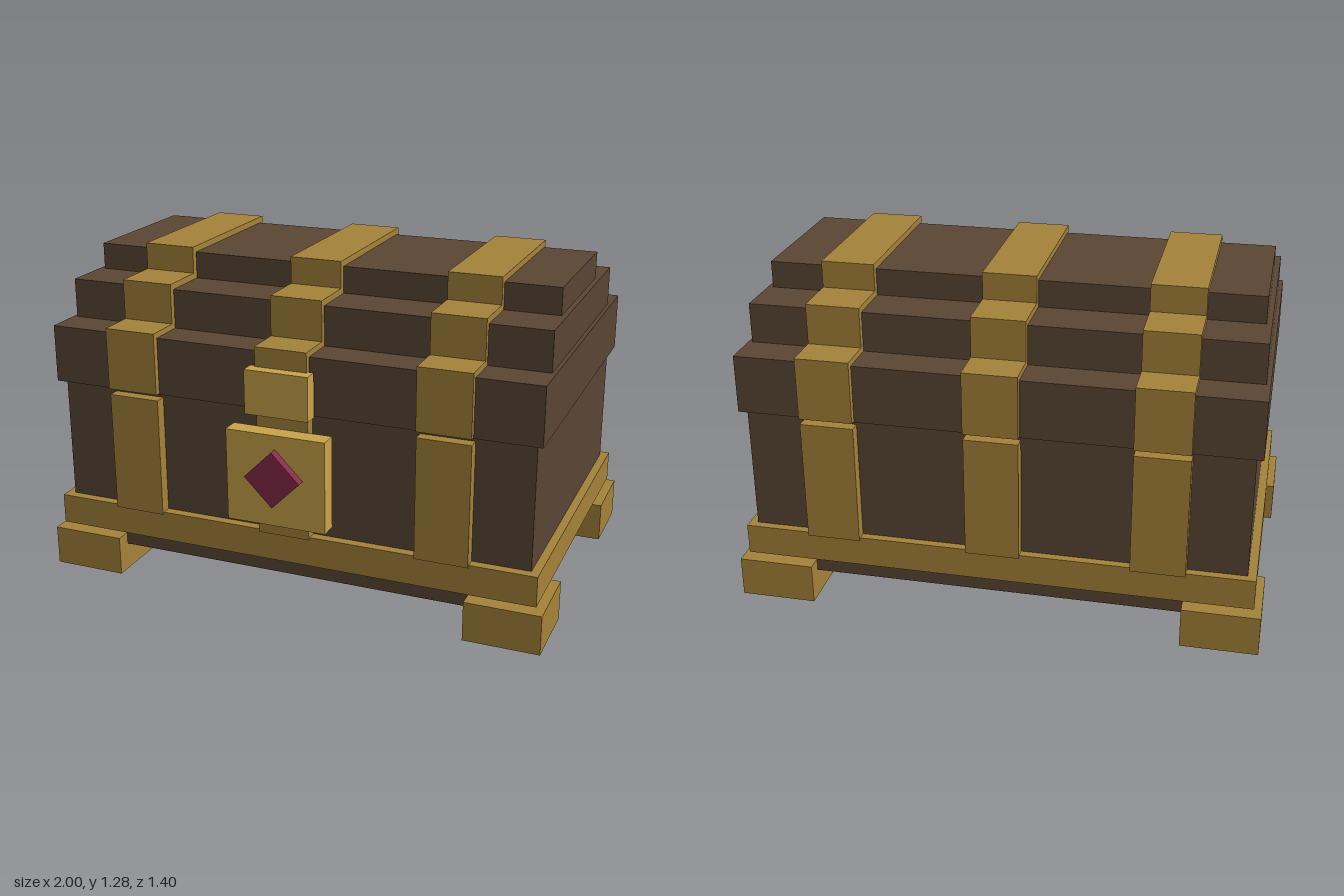
import * as THREE from 'three';

const material = (name, color) => {
  const m = new THREE.MeshStandardMaterial({ color });
  m.name = name;
  return m;
};

export function createModel() {
  const wood = material('dark wood', 0x5a4634);
  const brass = material('aged brass', 0xa5823a);
  const gold = material('bright gold', 0xc9a44a);
  const ruby = material('ruby', 0x832a48);

  const chest = new THREE.Group();
  chest.name = 'treasureChest';

  // Box given by its limits on each axis
  const box = (name, mat, [x0, x1], [y0, y1], [z0, z1], parent = chest) => {
    const mesh = new THREE.Mesh(new THREE.BoxGeometry(x1 - x0, y1 - y0, z1 - z0), mat);
    mesh.position.set((x0 + x1) / 2, (y0 + y1) / 2, (z0 + z1) / 2);
    mesh.name = name;
    parent.add(mesh);
    return mesh;
  };

  // Body and the band around its foot
  box('body', wood, [-0.94, 0.94], [0.107, 0.775], [-0.64, 0.555]);
  box('baseBand', brass, [-0.972, 0.972], [0.175, 0.293], [-0.672, 0.592]);

  // Corner feet
  for (const [x0, x1] of [[-1, -0.71], [0.71, 1]]) {
    box('frontFoot', brass, [x0, x1], [0, 0.155], [0.325, 0.615]);
    box('backFoot', brass, [x0, x1], [0, 0.155], [-0.7, -0.41]);
  }

  // Stepped lid
  const lid = new THREE.Group();
  lid.name = 'lid';
  chest.add(lid);
  box('lowerTier', wood, [-0.965, 0.965], [0.775, 0.998], [-0.665, 0.583], lid);
  box('middleTier', wood, [-0.95, 0.95], [0.998, 1.15], [-0.52, 0.44], lid);
  box('upperTier', wood, [-0.93, 0.93], [1.15, 1.253], [-0.332, 0.25], lid);

  // Lid strap: stepped profile (z, y) just outside the tiers
  const profile = new THREE.Shape([
    [-0.69, 0.78], [0.607, 0.78], [0.607, 1.02], [0.463, 1.02], [0.463, 1.174], [0.275, 1.174],
    [0.275, 1.277], [-0.357, 1.277], [-0.357, 1.174], [-0.545, 1.174], [-0.545, 1.02], [-0.69, 1.02],
  ].map(([z, y]) => new THREE.Vector2(-z, y)));
  const strapWidth = 0.204;
  const strapGeometry = new THREE.ExtrudeGeometry(profile, { depth: strapWidth, bevelEnabled: false });
  strapGeometry.translate(0, 0, -strapWidth / 2).rotateY(Math.PI / 2);

  for (const x of [-0.617, 0, 0.617]) {
    const strap = new THREE.Mesh(strapGeometry, brass);
    strap.name = 'lidStrap';
    strap.position.x = x;
    lid.add(strap);
    // Upright straps on the front and back of the body
    const span = [x - strapWidth / 2, x + strapWidth / 2];
    box('frontStrap', brass, span, [0.285, 0.755], [0.54, 0.6]);
    box('backStrap', brass, span, [0.285, 0.755], [-0.683, -0.62]);
  }

  // Lock with hasp and diamond-set gem
  box('hasp', gold, [-0.125, 0.125], [0.775, 0.945], [0.595, 0.652]);
  box('lockPlate', gold, [-0.196, 0.196], [0.355, 0.713], [0.598, 0.668]);
  const half = 0.155 / 2;
  const gem = box('gem', ruby, [-half, half], [0.55 - half, 0.55 + half], [0.65, 0.702]);
  gem.rotation.z = Math.PI / 4;

  return chest;
}
